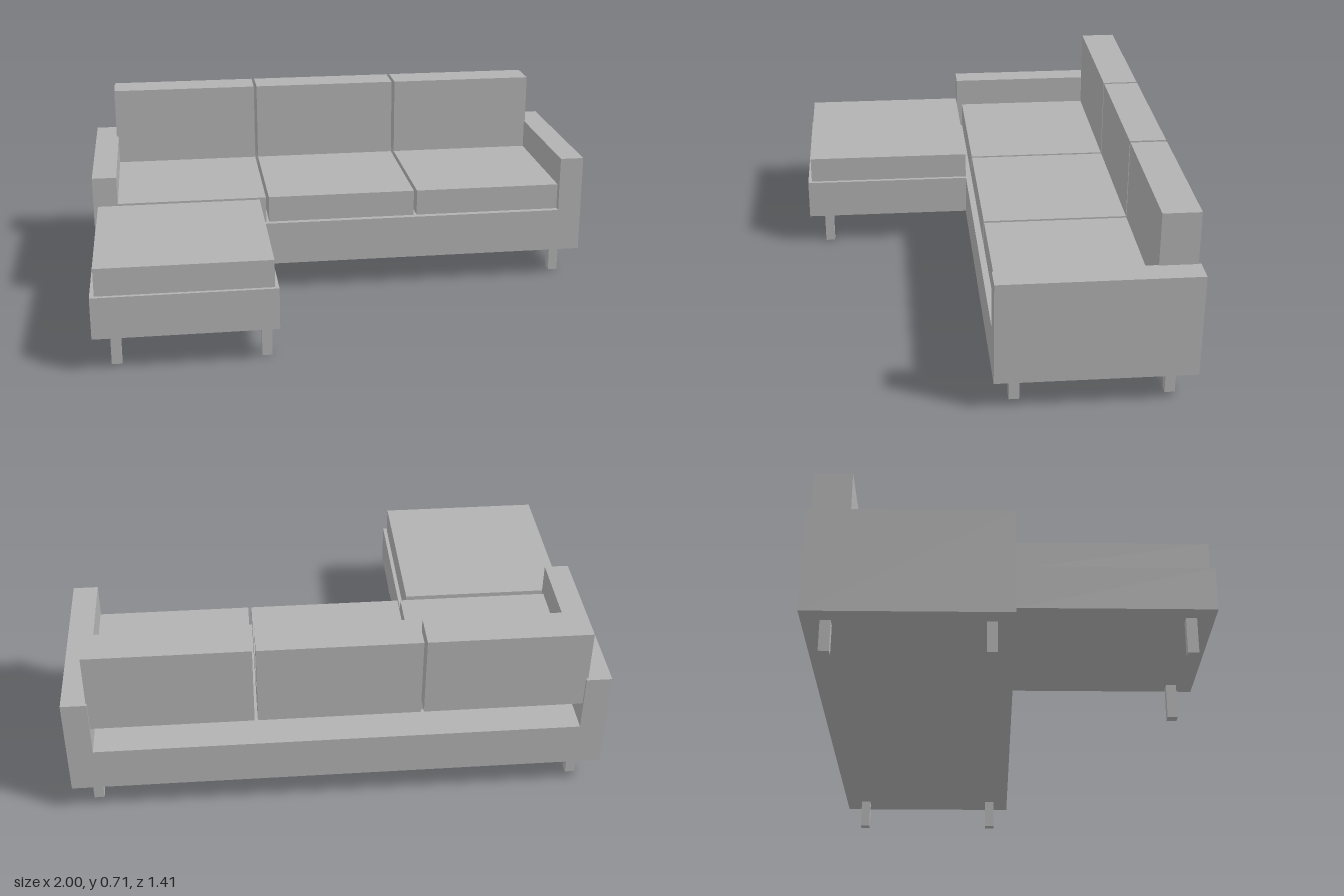
import * as THREE from 'three';

export function createModel() {
  const sofa = new THREE.Group();
  sofa.name = 'cornerSofa';
  const fabric = new THREE.MeshStandardMaterial({ color: 0xb2b2b2 });
  fabric.name = 'greyFabric';

  // Box given by its extents along each axis
  function block(name, [x0, x1], [y0, y1], [z0, z1]) {
    const mesh = new THREE.Mesh(new THREE.BoxGeometry(x1 - x0, y1 - y0, z1 - z0), fabric);
    mesh.position.set((x0 + x1) / 2, (y0 + y1) / 2, (z0 + z1) / 2);
    mesh.name = name;
    sofa.add(mesh);
  }

  const seatY = [0.29, 0.395];
  const depth = [-0.705, 0.027];

  // Main frame and arms
  block('base', [-0.905, 0.905], [0.115, 0.29], depth);
  block('rightArm', [-1, -0.905], [0.115, 0.513], depth);
  block('leftArm', [0.905, 1], [0.115, 0.513], depth);

  // Three seat cushions, with back cushions resting behind and above them
  const seats = [[-0.905, -0.313], [-0.301, 0.296], [0.309, 0.904]];
  const backs = [[-0.913, -0.313], [-0.301, 0.296], [0.309, 0.909]];
  seats.forEach((x) => block('seatCushion', x, seatY, [-0.56, 0.003]));
  backs.forEach((x) => block('backCushion', x, [0.395, 0.715], [-0.695, -0.555]));

  // Chaise in front of the right seat
  block('chaiseBase', [-1, -0.325], [0.131, 0.29], [0.027, 0.705]);
  block('chaiseCushion', [-0.983, -0.34], seatY, [0.027, 0.69]);

  // Legs: x, z, top height
  const legs = [
    [-0.912, -0.62, 0.115], [0.912, -0.62, 0.115],
    [-0.912, -0.053, 0.115], [0.912, -0.053, 0.115],
    [-0.918, 0.623, 0.131], [-0.368, 0.623, 0.131],
  ];
  const r = 0.019;
  legs.forEach(([x, z, top]) => block('leg', [x - r, x + r], [0, top], [z - r, z + r]));

  return sofa;
}
